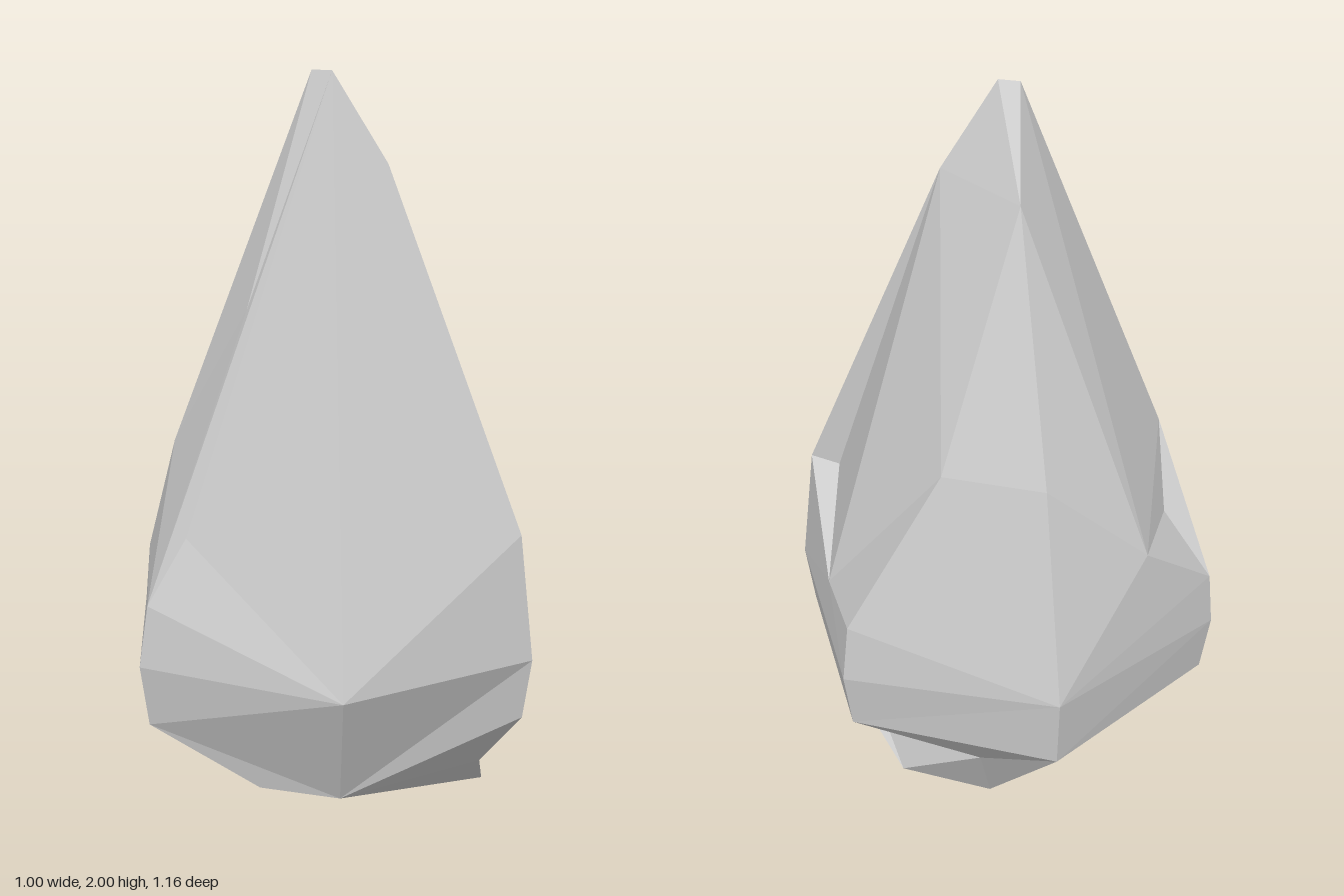
import * as THREE from 'three';

// Corner of the six-sided girdle: step 0 is the front, steps run towards +x
const corner = (step, radius, y) => {
  const a = step * Math.PI / 3;
  return [radius * Math.sin(a), y, radius * Math.cos(a)];
};

const points = {
  // Widest ring
  front: corner(0, 0.58, 0.52), leftFront: corner(1, 0.58, 0.52), leftBack: corner(2, 0.58, 0.52),
  back: corner(3, 0.58, 0.56), rightBack: corner(4, 0.58, 0.52), rightFront: corner(5, 0.58, 0.52),
  // Ring below it, dipping at the front
  lowFront: [0, 0.215, 0.44], lowLeftFront: corner(1, 0.555, 0.36), lowLeftBack: corner(2, 0.555, 0.36),
  lowBack: corner(3, 0.56, 0.36), lowRightBack: corner(4, 0.555, 0.36), lowRightFront: corner(5, 0.555, 0.36),
  // Shoulders
  sLeftFront: [0.47, 0.85, 0.27], notch: [0.4, 0.83, 0.24], sLeft: [0.49, 0.66, -0.05],
  sLeftBack: [0.485, 0.68, -0.285], highLeftBack: [0.235, 1.12, -0.3], highBack: [0, 1.12, -0.43],
  dent: [-0.28, 0.85, -0.39], dentSide: [-0.385, 0.84, -0.2], sRightBack: [-0.49, 0.67, -0.29],
  highRight: [-0.41, 1.03, -0.05], sRightFront: [-0.48, 0.68, 0.28], frontChip: [-0.38, 0.85, 0.255],
  ridgeNotch: [-0.22, 1.41, 0.135],
  // Tip
  tip: [0, 2, 0.055], tipRight: [-0.05, 2, 0.03], tipLeft: [0.14, 1.77, 0.08], tipBack: [0, 1.77, -0.165],
  // Broken foot
  footLeft: [0.38, 0.215, 0.21], footInner: [0.15, 0.215, -0.34], footRight: [-0.38, 0.215, -0.06],
  footFront: [-0.2, 0.215, 0.36], keelSide: [0.4, 0.12, 0.1], keelLeft: [0.32, 0.02, -0.12], keel: [0.1, 0, -0.24],
};

// Flat facets, corners counter-clockwise from outside
const parts = {
  tip: ['tip tipLeft tipBack', 'tip tipBack tipRight'],
  shardFront: [
    'front leftFront sLeftFront tip', 'sLeftFront tipLeft tip',
    'sRightFront frontChip tip', 'sRightFront front frontChip', 'frontChip front tip',
    'rightFront front sRightFront',
  ],
  shardLeft: [
    'sLeftFront notch tipLeft', 'sLeftFront sLeft notch', 'notch sLeft tipLeft',
    'sLeft highLeftBack tipLeft', 'tipLeft highLeftBack tipBack', 'highLeftBack sLeft sLeftBack',
    'leftFront sLeft sLeftFront', 'leftFront leftBack sLeft', 'leftBack sLeftBack sLeft',
  ],
  shardBack: [
    'sLeftBack back highLeftBack', 'highLeftBack back highBack', 'highLeftBack highBack tipBack',
    'leftBack back sLeftBack', 'highBack dent tipBack', 'back dent highBack',
    'back sRightBack dent', 'sRightBack dentSide dent', 'sRightBack highRight dentSide',
    'dent dentSide highRight tipRight tipBack', 'back rightBack sRightBack',
  ],
  shardRight: [
    'rightBack rightFront sRightFront sRightBack', 'sRightBack sRightFront highRight',
    'highRight sRightFront ridgeNotch', 'highRight ridgeNotch tipRight',
    'tipRight ridgeNotch tip', 'sRightFront tip ridgeNotch',
  ],
  girdle: [
    'lowFront lowLeftFront leftFront front', 'lowLeftFront lowLeftBack leftBack leftFront',
    'lowLeftBack lowBack back leftBack', 'lowBack lowRightBack rightBack back',
    'lowRightBack lowRightFront rightFront rightBack', 'lowRightFront lowFront front rightFront',
  ],
  brokenFoot: [
    'lowFront footLeft lowLeftFront', 'lowLeftFront footLeft footInner lowLeftBack',
    'lowLeftBack footInner lowBack', 'footInner keel lowBack', 'footInner keelLeft keel',
    'footLeft keelSide keelLeft footInner', 'lowFront footFront keelLeft keelSide footLeft',
    'footFront footRight keel keelLeft', 'lowBack keel footRight lowRightBack',
    'lowRightBack footRight lowRightFront', 'footRight footFront lowRightFront',
    'lowRightFront footFront lowFront',
  ],
};

// Turns named facets into a triangle-fan geometry
function facetGeometry(facets) {
  const positions = [];
  for (const facet of facets) {
    const p = facet.split(' ').map((name) => points[name]);
    for (let i = 1; i < p.length - 1; i++) positions.push(...p[0], ...p[i], ...p[i + 1]);
  }
  const geometry = new THREE.BufferGeometry();
  geometry.setAttribute('position', new THREE.Float32BufferAttribute(positions, 3));
  geometry.computeVertexNormals();
  return geometry;
}

export function createModel() {
  const group = new THREE.Group();
  group.name = 'crystalShard';
  const material = new THREE.MeshStandardMaterial({ color: 0xcccccc, flatShading: true });
  for (const [name, facets] of Object.entries(parts)) {
    const mesh = new THREE.Mesh(facetGeometry(facets), material);
    mesh.name = name;
    group.add(mesh);
  }
  return group;
}
